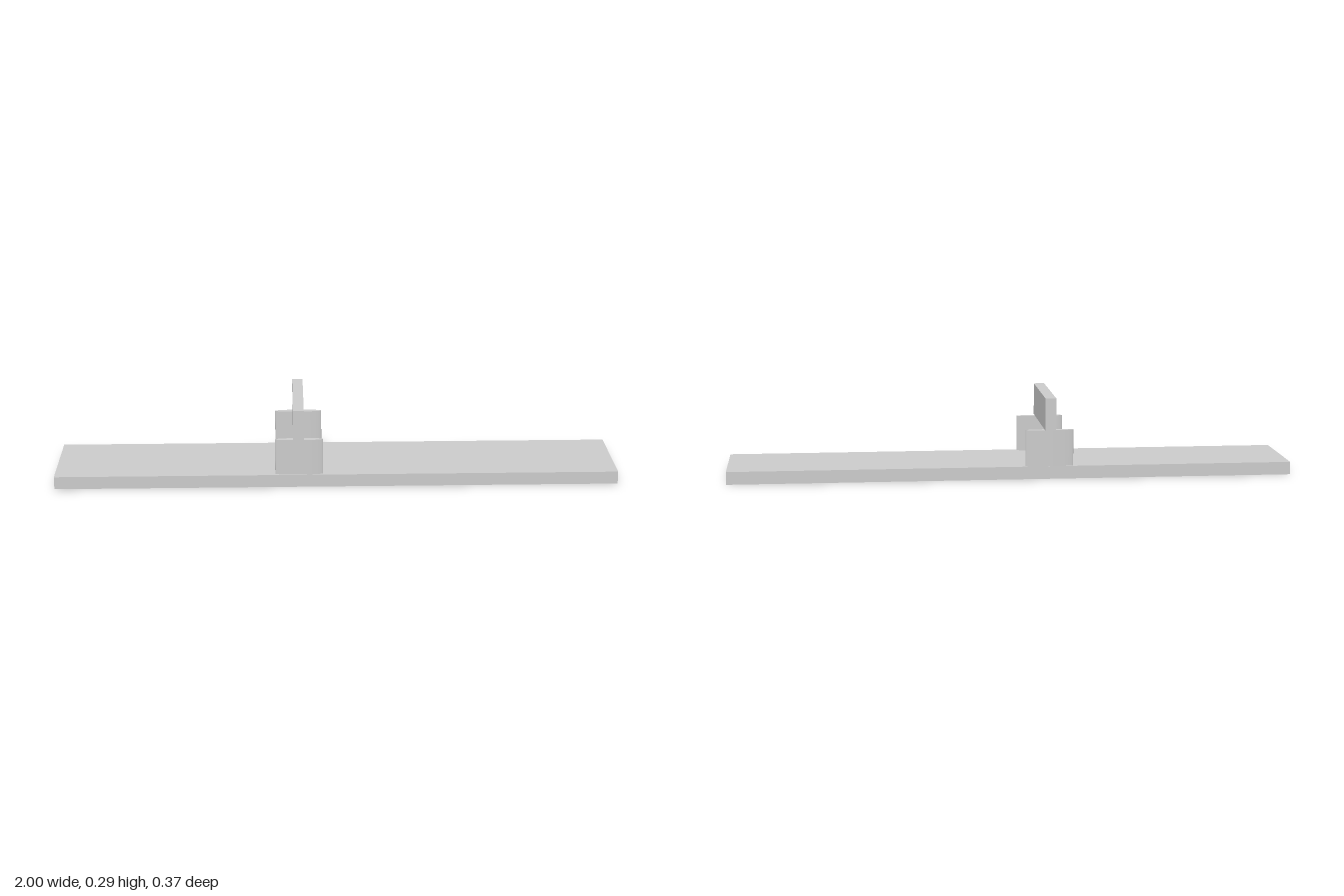
import * as THREE from 'three';

export function createModel() {
  const model = new THREE.Group();
  const material = new THREE.MeshStandardMaterial({ color: 0xcccccc });

  const add = (name, geometry, x, y, z) => {
    const mesh = new THREE.Mesh(geometry, material);
    mesh.name = name;
    mesh.position.set(x, y, z);
    model.add(mesh);
  };

  // Long flat plank
  add('basePlank', new THREE.BoxGeometry(2, 0.045, 0.345), 0, 0.0225, -0.003);

  // Thin elliptical posts standing near the plank's long edges
  const postBottom = 0.04, postTop = 0.174;
  const height = postTop - postBottom;
  for (const [name, z] of [['frontPost', 0.155], ['backPost', -0.163]]) {
    const post = new THREE.CylinderGeometry(1, 1, height, 64).scale(0.085, 1, 0.012);
    add(name, post, -0.134, postBottom + height / 2, z);
  }

  // Upright board bridging the posts
  add('crossBoard', new THREE.BoxGeometry(0.038, 0.115, 0.374), -0.136, 0.2315, 0);

  return model;
}
